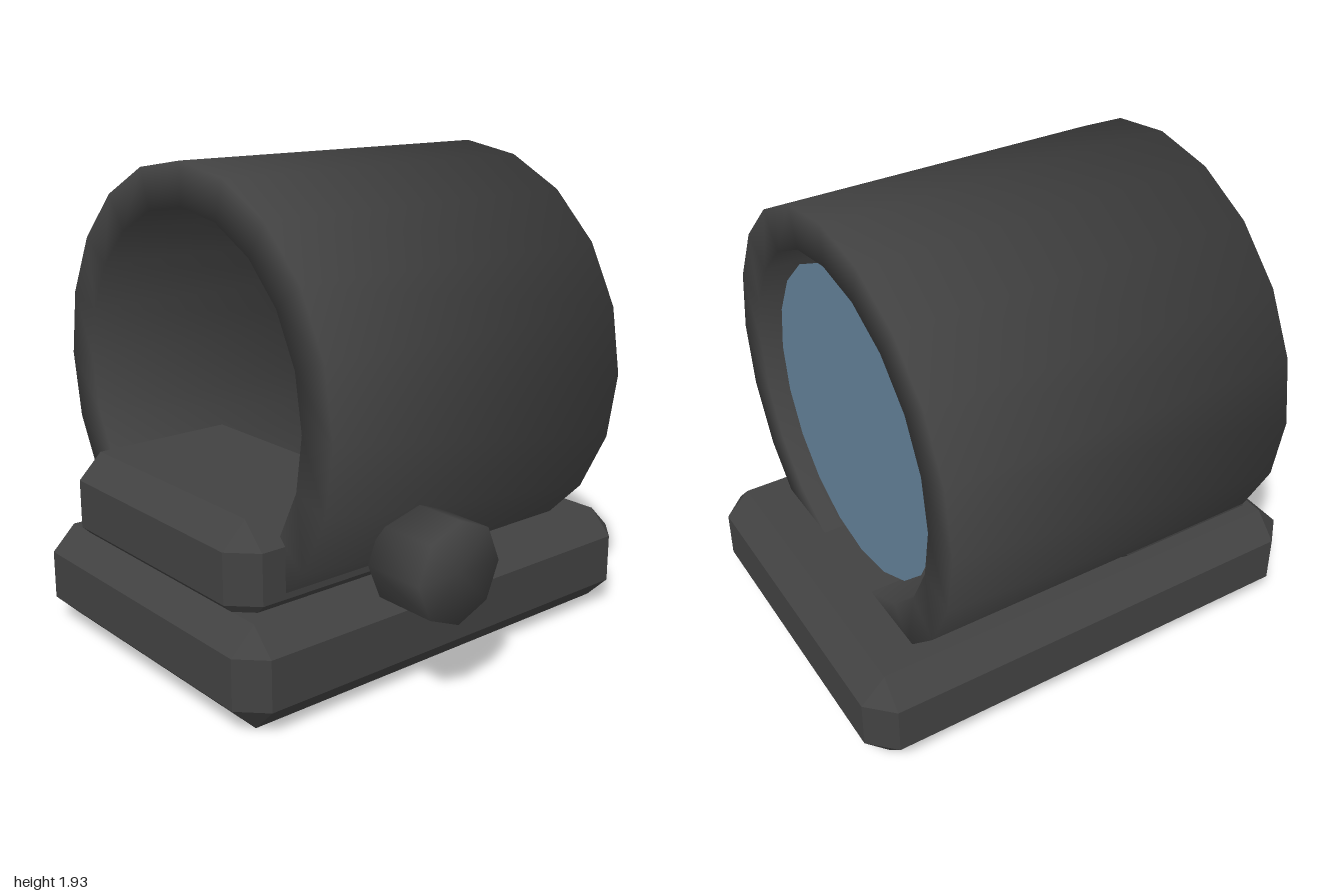
import * as THREE from 'three';
import { ConvexGeometry } from 'three/addons/geometries/ConvexGeometry.js';

// Box from min to max corner with every edge and corner cut by c
function chamferedBox([x0, y0, z0], [x1, y1, z1], c) {
  const points = [];
  for (const [x, dx] of [[x0, c], [x1, -c]])
    for (const [y, dy] of [[y0, c], [y1, -c]])
      for (const [z, dz] of [[z0, c], [z1, -c]])
        points.push(
          new THREE.Vector3(x, y + dy, z + dz),
          new THREE.Vector3(x + dx, y, z + dz),
          new THREE.Vector3(x + dx, y + dy, z));
  return new ConvexGeometry(points);
}

// Turned shape around z; profile rows are [radius, z, radial normal, z normal],
// so the normals run smoothly over the rims
function turned(profile, sides, closed) {
  const n = profile.length, position = [], normal = [], index = [];
  for (let i = 0; i < sides; i++) {
    const a = (i / sides) * Math.PI * 2, c = Math.cos(a), s = Math.sin(a);
    for (const [r, z, nr, nz] of profile) {
      const l = Math.hypot(nr, nz);
      position.push(r * c, r * s, z);
      normal.push(nr * c / l, nr * s / l, nz / l);
    }
    const i2 = (i + 1) % sides;
    for (let j = 0; j < (closed ? n : n - 1); j++) {
      const j2 = (j + 1) % n;
      const p = i * n + j, q = i2 * n + j, r = i2 * n + j2, t = i * n + j2;
      index.push(p, t, q, q, t, r);
    }
  }
  const g = new THREE.BufferGeometry();
  g.setAttribute('position', new THREE.Float32BufferAttribute(position, 3));
  g.setAttribute('normal', new THREE.Float32BufferAttribute(normal, 3));
  g.setIndex(index);
  return g;
}

export function createModel() {
  const group = new THREE.Group();
  const body = new THREE.MeshStandardMaterial({ color: 0x424242 });
  body.name = 'dark grey';
  const glass = new THREE.MeshStandardMaterial({ color: 0x64839a, side: THREE.DoubleSide });
  glass.name = 'blue glass';

  const add = (name, geometry, material, x = 0, y = 0, z = 0) => {
    const mesh = new THREE.Mesh(geometry, material);
    mesh.name = name;
    mesh.position.set(x, y, z);
    group.add(mesh);
  };

  // Mounting base and the housing block in the front of the tube
  add('base', chamferedBox([-0.8, 0, -1], [0.667, 0.4, 1], 0.1), body);
  add('frontBlock', chamferedBox([-0.667, 0.333, 0.133], [0.533, 0.733, 0.933], 0.1), body);

  // Open tube
  const cx = -0.067, cy = 1.067, half = 0.733;
  add('tube', turned([
    [0.866, half, 1, 1], [0.866, -half, 1, -1],
    [0.7, -half, -1, -1], [0.7, half, -1, 1],
  ], 20, true), body, cx, cy);

  // Lens just inside the back opening
  add('lens', new THREE.CircleGeometry(0.633, 20), glass, cx, cy, -0.667);

  // Side knob
  const knob = turned([
    [0, 0.133, 0, 1], [0.198, 0.133, 1, 1],
    [0.198, -0.133, 1, -1], [0, -0.133, 0, -1],
  ], 8, false).rotateY(Math.PI / 2);
  add('knob', knob, body, 0.8, 0.535, 0.267);

  return group;
}
